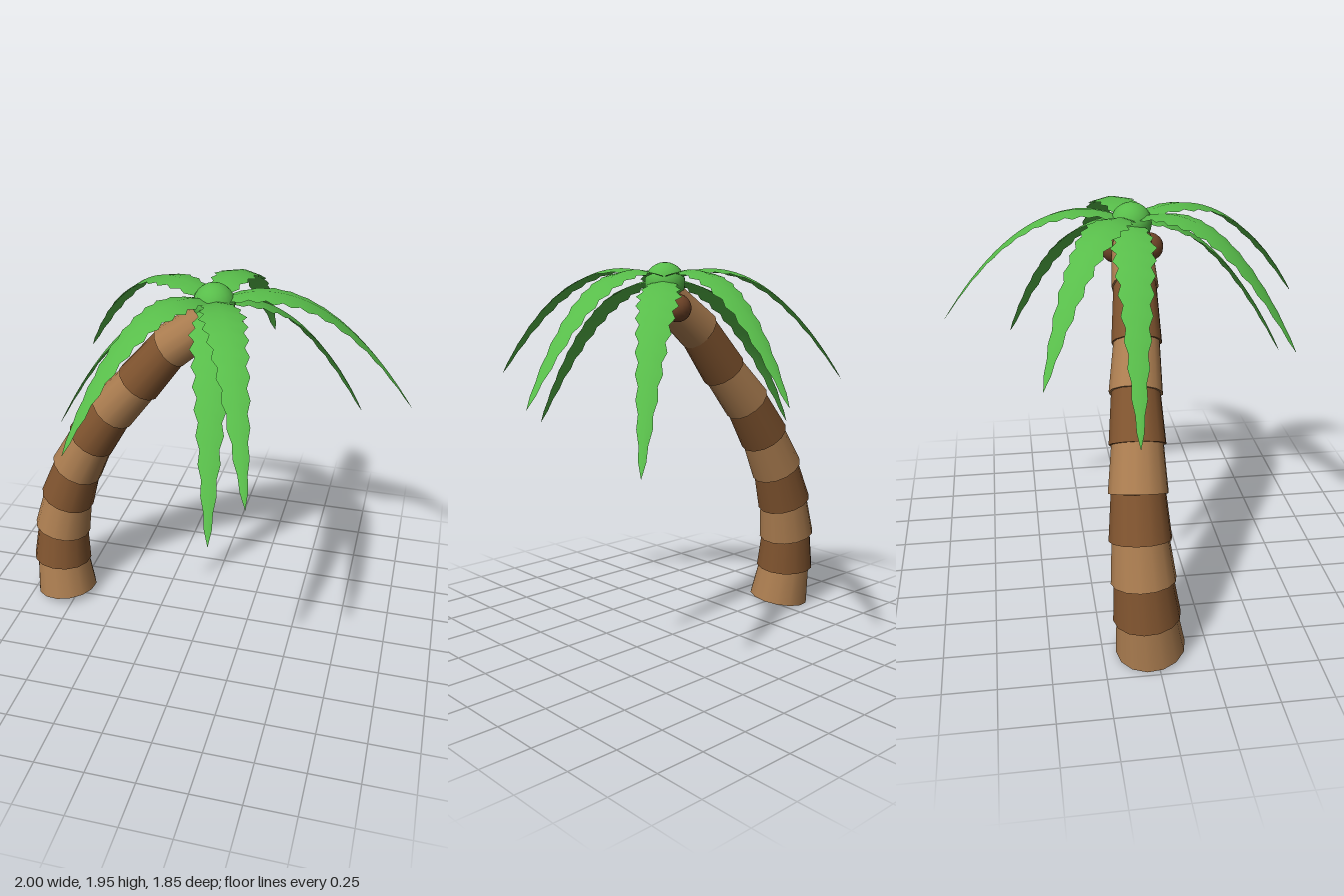
import * as THREE from 'three';

const V = (x, y, z) => new THREE.Vector3(x, y, z);
const material = (name, color, side = THREE.FrontSide) => {
  const m = new THREE.MeshStandardMaterial({ color, side });
  m.name = name;
  return m;
};

// Toothed leaf: a shallow folded strip that follows an arc from the crown to its tip
function frondGeometry(start, tip, droops) {
  const segments = 24;
  const control = start.clone().lerp(tip, 0.5).setY(droops ? 1.9 : 2.09);
  const arc = new THREE.QuadraticBezierCurve3(start, control, tip);
  const side = V(-(tip.z - start.z), 0, tip.x - start.x).normalize();
  const halfWidth = t => 0.125 * Math.pow(1 - t, 0.65) * Math.min(1, 0.35 + 2.2 * t);
  const positions = [], index = [];
  for (let i = 0; i <= segments; i++) {
    const t = i / segments;
    const rib = arc.getPoint(t);
    const normal = arc.getTangent(t).cross(side).normalize();
    if (normal.y < 0) normal.negate();
    const w = halfWidth(t) * (i % 2 ? 1.1 : 0.85);
    for (const s of [-1, 0, 1]) {
      const p = rib.clone().addScaledVector(side, s * w);
      p.addScaledVector(normal, s ? -0.2 * w : 0);
      positions.push(p.x, p.y, p.z);
    }
    if (i === segments) break;
    for (const k of [0, 1]) {
      const a = i * 3 + k;
      index.push(a, a + 1, a + 3, a + 1, a + 4, a + 3);
    }
  }
  const g = new THREE.BufferGeometry();
  g.setAttribute('position', new THREE.Float32BufferAttribute(positions, 3));
  g.setIndex(index);
  g.computeVertexNormals();
  // Keep the outward side of the strip facing up
  if (g.attributes.normal.getY(4) < 0) {
    for (let i = 0; i < index.length; i += 3) [index[i], index[i + 1]] = [index[i + 1], index[i]];
    g.setIndex(index);
    g.computeVertexNormals();
  }
  return g;
}

export function createModel() {
  const model = new THREE.Group();
  model.name = 'palmTree';
  const lightBark = material('lightBark', 0xab7d50);
  const darkBark = material('darkBark', 0x80542f);
  const shell = material('coconutShell', 0x6f4428);
  const leaf = material('leafGreen', 0x58bd4a, THREE.DoubleSide);

  const add = (name, geometry, mat, parent = model) => {
    const mesh = new THREE.Mesh(geometry, mat);
    mesh.name = name;
    parent.add(mesh);
    return mesh;
  };

  // Trunk: tapered rings stacked along a leaning curve, alternating bark colours
  const trunk = new THREE.Group();
  trunk.name = 'trunk';
  model.add(trunk);
  const joints = [
    V(-0.82, 0.025, -0.025), V(-0.84, 0.22, -0.045), V(-0.83, 0.415, -0.06), V(-0.79, 0.61, -0.07),
    V(-0.72, 0.81, -0.07), V(-0.62, 1.005, -0.06), V(-0.49, 1.2, -0.05), V(-0.335, 1.385, -0.025),
    V(-0.165, 1.6, -0.01), V(0.04, 1.765, 0),
  ];
  for (let i = 0; i < joints.length - 1; i++) {
    const axis = joints[i + 1].clone().sub(joints[i]);
    const r = 0.166 - 0.0068 * i;
    const ring = add('trunkRing', new THREE.CylinderGeometry(r * 0.86, r, axis.length() + 0.015, 14),
      i % 2 ? darkBark : lightBark, trunk);
    ring.position.copy(joints[i]).lerp(joints[i + 1], 0.5);
    ring.quaternion.setFromUnitVectors(V(0, 1, 0), axis.normalize());
  }

  // Crown bud
  const crown = V(0.05, 1.84, 0);
  add('crown', new THREE.SphereGeometry(0.1, 20, 14), leaf).position.copy(crown);

  // Coconuts under the crown
  for (const p of [V(0.05, 1.72, 0.09), V(0.125, 1.72, -0.02), V(0.04, 1.72, -0.08)]) {
    add('coconut', new THREE.SphereGeometry(0.068, 16, 12), shell).position.copy(p);
  }

  // Fronds: high and drooping leaves around the crown, by tip position
  const tips = [
    V(0.18, 1.34, -0.93), V(0.73, 1.06, -0.6), V(1, 1.33, -0.17), V(0.41, 1.34, 0.92),
    V(0.23, 1.06, 0.83), V(-0.47, 1.34, 0.7), V(-0.8, 1.06, -0.07), V(-0.75, 1.34, -0.48),
  ];
  for (const tip of tips) {
    add('frond', frondGeometry(crown.clone().setY(1.85), tip, tip.y < 1.2), leaf);
  }
  return model;
}
